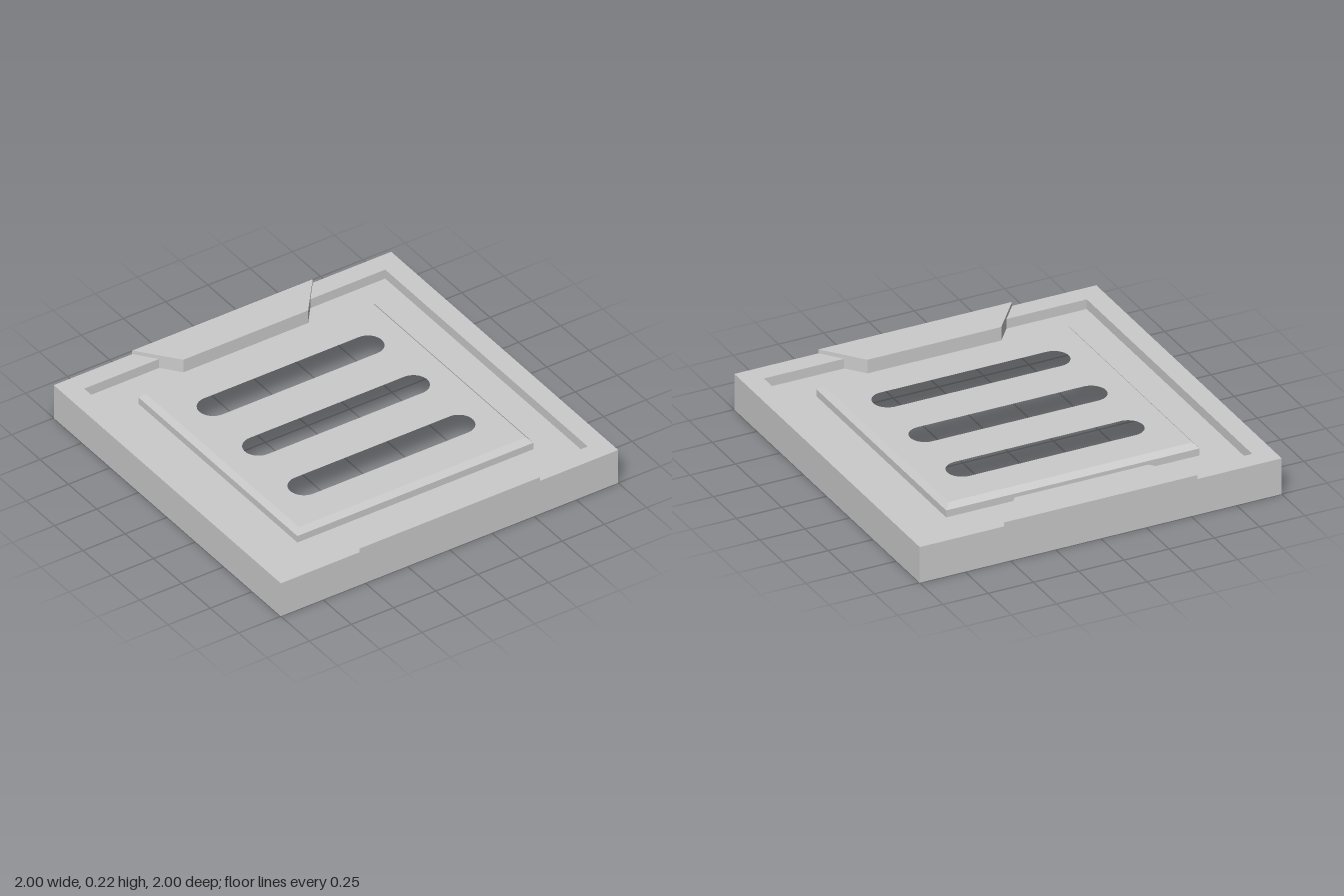
import * as THREE from 'three';

// Heights
const RIM = 0.2, FLOOR = 0.146, TAB = 0.222, EDGE = 0.185, TOP = 0.213;
// Plan sizes
const OUT = 1, IN = 0.892, PANEL = 0.7, PANEL_TOP = 0.674;
const TAB_OUT = 0.535, TAB_IN = 0.37, TAB_Z = 0.795;
// Where the slanted tab side crosses the inner rim line
const TAB_MID = TAB_IN + (TAB_OUT - TAB_IN) * (IN - TAB_Z) / (OUT - TAB_Z);

const material = new THREE.MeshStandardMaterial({
  color: 0xcccccc, side: THREE.DoubleSide, flatShading: true,
});

const poly = (pts) => new THREE.Shape(pts.map(([x, y]) => new THREE.Vector2(x, y)));
const square = (r) => [[r, r], [r, -r], [-r, -r], [-r, r]];

// Flat horizontal sheet; plan points are [x, -z]
function sheet(shape, y) {
  return new THREE.ShapeGeometry(shape, 16).rotateX(-Math.PI / 2).translate(0, y, 0);
}

// Strip of quads between two matching [x, z] paths at heights y0 and y1
function strip(lower, y0, upper, y1, closed = false) {
  const pos = [];
  const n = lower.length;
  for (let i = 0; i < (closed ? n : n - 1); i++) {
    const j = (i + 1) % n;
    const a = [lower[i][0], y0, lower[i][1]], b = [lower[j][0], y0, lower[j][1]];
    const c = [upper[j][0], y1, upper[j][1]], d = [upper[i][0], y1, upper[i][1]];
    pos.push(...a, ...b, ...c, ...a, ...c, ...d);
  }
  const g = new THREE.BufferGeometry();
  g.setAttribute('position', new THREE.Float32BufferAttribute(pos, 3));
  g.computeVertexNormals();
  return g;
}

export function createModel() {
  const group = new THREE.Group();
  const add = (name, geometry, parent = group) => {
    const mesh = new THREE.Mesh(geometry, material);
    mesh.name = name;
    parent.add(mesh);
  };

  // Thin outer walls; front and back rise to meet the tabs
  const endWall = poly([[-OUT, 0], [OUT, 0], [OUT, RIM], [TAB_OUT, RIM], [TAB_OUT, TAB],
    [-TAB_OUT, TAB], [-TAB_OUT, RIM], [-OUT, RIM]]);
  const side = [[OUT, OUT], [OUT, -OUT]];

  // Bracket-shaped rim half and the step down to the recess
  const rim = poly([[TAB_OUT, -OUT], [OUT, -OUT], [OUT, OUT], [TAB_OUT, OUT],
    [TAB_MID, IN], [IN, IN], [IN, -IN], [TAB_MID, -IN]]);
  const step = [[TAB_MID, -IN], [IN, -IN], [IN, IN], [TAB_MID, IN]];

  // Raised tab, hollow below
  const tabTop = poly([[-TAB_OUT, -OUT], [TAB_OUT, -OUT], [TAB_IN, -TAB_Z], [-TAB_IN, -TAB_Z]]);
  const tabInner = [[TAB_MID, IN], [TAB_IN, TAB_Z], [-TAB_IN, TAB_Z], [-TAB_MID, IN]];

  for (const half of [0, 1]) {
    const sideGroup = new THREE.Group();
    sideGroup.name = half ? 'rightSide' : 'leftSide';
    add('sideWall', strip(side, 0, side, RIM), sideGroup);
    add('rimTop', sheet(rim, RIM), sideGroup);
    add('rimStep', strip(step, FLOOR, step, RIM), sideGroup);

    const endGroup = new THREE.Group();
    endGroup.name = half ? 'backEnd' : 'frontEnd';
    add('endWall', new THREE.ShapeGeometry(endWall).translate(0, 0, OUT), endGroup);
    add('tabTop', sheet(tabTop, TAB), endGroup);
    add('tabInnerWall', strip(tabInner, FLOOR, tabInner, TAB), endGroup);
    for (const s of [1, -1]) {
      const edge = [[s * TAB_OUT, OUT], [s * TAB_MID, IN]];
      if (s < 0) edge.reverse();
      add('tabSideEdge', strip(edge, RIM, edge, TAB), endGroup);
    }

    for (const g of [sideGroup, endGroup]) {
      g.rotation.y = half * Math.PI;
      group.add(g);
    }
  }

  // Recessed floor around the panel, notched for the tabs
  const floor = poly([[IN, IN], [TAB_MID, IN], [TAB_IN, TAB_Z], [-TAB_IN, TAB_Z],
    [-TAB_MID, IN], [-IN, IN], [-IN, -IN], [-TAB_MID, -IN], [-TAB_IN, -TAB_Z],
    [TAB_IN, -TAB_Z], [TAB_MID, -IN], [IN, -IN]]);
  floor.holes.push(poly(square(PANEL)));
  add('recessFloor', sheet(floor, FLOOR));

  // Raised panel with bevelled edge
  add('panelWall', strip(square(PANEL), FLOOR, square(PANEL), EDGE, true));
  add('panelBevel', strip(square(PANEL), EDGE, square(PANEL_TOP), TOP, true));

  // Panel top with three round-ended slots
  const panel = poly(square(PANEL_TOP));
  const r = 0.081, cx = 0.54 - r;
  for (const y of [-0.4, 0, 0.4]) {
    const slot = new THREE.Path();
    slot.absarc(cx, y, r, -Math.PI / 2, Math.PI / 2);
    slot.absarc(-cx, y, r, Math.PI / 2, Math.PI * 1.5);
    slot.closePath();
    panel.holes.push(slot);
  }
  add('slottedPanelTop', sheet(panel, TOP));

  return group;
}
